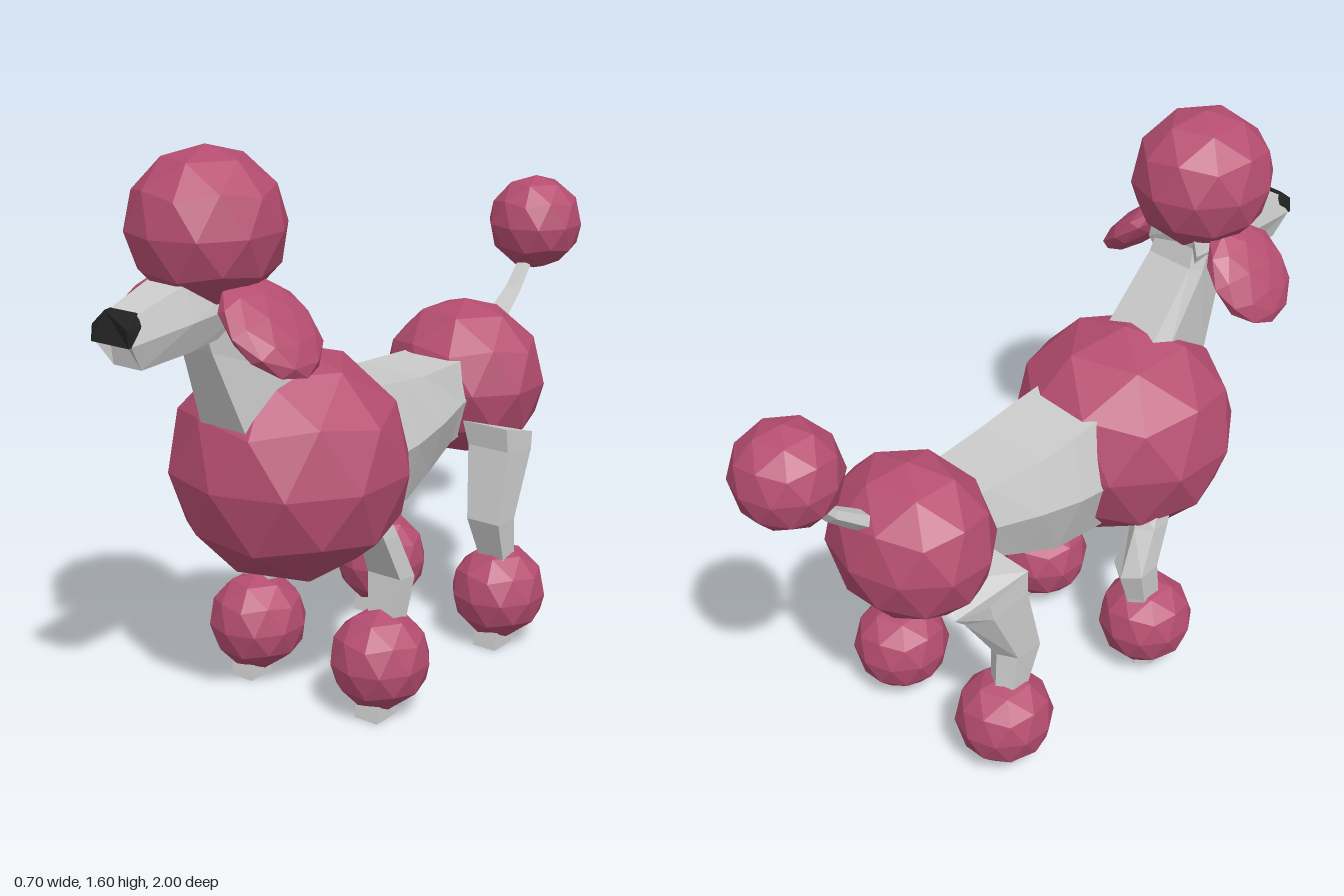
import * as THREE from 'three';

const coat = new THREE.MeshStandardMaterial({ color: 0xb54d70, flatShading: true });
const skin = new THREE.MeshStandardMaterial({ color: 0xcccccc, flatShading: true });
const black = new THREE.MeshStandardMaterial({ color: 0x222222, flatShading: true });

// Joins rings of [x, y, z] points into a closed, faceted solid
function loft(name, rings, material = skin) {
  const n = rings[0].length;
  const tris = [];
  for (let r = 0; r < rings.length - 1; r++) {
    for (let i = 0; i < n; i++) {
      const j = (i + 1) % n;
      const a = rings[r][i], b = rings[r][j], c = rings[r + 1][j], d = rings[r + 1][i];
      tris.push([a, b, c], [a, c, d]);
    }
  }
  const first = rings[0], last = rings[rings.length - 1];
  for (let i = 1; i < n - 1; i++) {
    tris.push([first[0], first[i + 1], first[i]], [last[0], last[i], last[i + 1]]);
  }
  // Turn every face outwards if the enclosed volume comes out negative
  const v = tris.map(t => t.map(p => new THREE.Vector3(...p)));
  const volume = v.reduce((s, [a, b, c]) => s + a.dot(b.clone().cross(c)), 0);
  if (volume < 0) tris.forEach(t => t.reverse());
  const geo = new THREE.BufferGeometry();
  geo.setAttribute('position', new THREE.Float32BufferAttribute(tris.flat(2), 3));
  geo.computeVertexNormals();
  const mesh = new THREE.Mesh(geo, material);
  mesh.name = name;
  return mesh;
}

// Mirrored six-sided ring; each corner pair is [half width, y, z]
const hex = (t, m, b) => [
  [-t[0], t[1], t[2]], [t[0], t[1], t[2]], [m[0], m[1], m[2]],
  [b[0], b[1], b[2]], [-b[0], b[1], b[2]], [-m[0], m[1], m[2]],
];

// Faceted ball of clipped fur with a corner at the top
function puff(name, pos, radii) {
  const geo = new THREE.IcosahedronGeometry(1, 1);
  geo.rotateZ(-Math.atan(2 / (1 + Math.sqrt(5))));
  geo.scale(...radii);
  const mesh = new THREE.Mesh(geo, coat);
  mesh.name = name;
  mesh.position.set(...pos);
  return mesh;
}

// Horizontal leg ring with a ridge at the back: centre x, half width, y and z of front, side and ridge
const legRing = ([x, w, y, front, side, ridge, drop = 0]) => [
  [x - w, y, front], [x + w, y, front], [x + w, y - drop * 0.4, side],
  [x, y - drop, ridge], [x - w, y - drop * 0.4, side],
];

export function createModel() {
  const dog = new THREE.Group();
  dog.name = 'poodle';

  // Fur
  dog.add(
    puff('chestFur', [0, 0.712, 0.35], [0.335, 0.325, 0.325]),
    puff('hipFur', [0, 0.755, -0.475], [0.25, 0.238, 0.218]),
    puff('topKnot', [0, 1.4, 0.655], [0.2, 0.2, 0.208]),
    puff('tailPuff', [0, 1.16, -0.855], [0.145, 0.145, 0.145]),
  );

  // Torso
  dog.add(loft('torso', [
    hex([0.12, 0.89, 0.15], [0.18, 0.69, 0.15], [0.11, 0.5, 0.15]),
    hex([0.12, 0.875, 0.02], [0.175, 0.7, 0.0], [0.11, 0.515, -0.03]),
    hex([0.115, 0.86, -0.1], [0.16, 0.72, -0.14], [0.1, 0.56, -0.15]),
    hex([0.1, 0.855, -0.28], [0.13, 0.74, -0.28], [0.085, 0.61, -0.28]),
    hex([0.09, 0.85, -0.45], [0.12, 0.75, -0.45], [0.08, 0.64, -0.45]),
  ]));

  // Neck: back, side and front corners
  dog.add(loft('neck', [
    hex([0.09, 0.9, 0.27], [0.12, 0.86, 0.36], [0.08, 0.78, 0.575]),
    hex([0.085, 1.0, 0.37], [0.11, 0.985, 0.42], [0.075, 0.86, 0.61]),
    hex([0.075, 1.18, 0.53], [0.09, 1.16, 0.57], [0.05, 1.1, 0.705]),
    hex([0.06, 1.3, 0.57], [0.08, 1.27, 0.62], [0.05, 1.2, 0.74]),
  ]));

  // Head and muzzle
  dog.add(loft('head', [
    hex([0.07, 1.3, 0.54], [0.09, 1.22, 0.54], [0.06, 1.15, 0.56]),
    hex([0.058, 1.29, 0.8], [0.085, 1.2, 0.8], [0.055, 1.12, 0.78]),
    hex([0.045, 1.243, 0.963], [0.06, 1.178, 0.99], [0.045, 1.11, 0.945]),
  ]));
  dog.add(loft('nose', [
    hex([0.044, 1.25, 0.95], [0.055, 1.22, 0.95], [0.058, 1.178, 0.97]),
    hex([0.044, 1.248, 0.968], [0.055, 1.22, 1.0], [0.061, 1.177, 1.0]),
  ], black));

  // Tail
  const tailPath = [[0.86, -0.6, 0.035], [0.91, -0.665, 0.032], [0.965, -0.735, 0.026],
    [1.035, -0.795, 0.023], [1.1, -0.83, 0.022]];
  dog.add(loft('tail', tailPath.map(([y, z, w]) => [
    [-w, y, z], [-w * 0.6, y + w * 0.6, z + w * 0.5], [w * 0.6, y + w * 0.6, z + w * 0.5],
    [w, y, z], [0, y - w * 0.6, z - w * 0.5],
  ])));

  // Ears and legs
  for (const s of [-1, 1]) {
    const side = s > 0 ? 'left' : 'right';
    const ear = s > 0
      ? puff('leftEar', [0.198, 1.178, 0.655], [0.05, 0.155, 0.143])
      : puff('rightEar', [-0.188, 1.165, 0.655], [0.05, 0.155, 0.143]);
    ear.rotation.z = s > 0 ? 0.8 : -0.67;
    dog.add(ear);

    dog.add(loft(side + 'FrontLeg', [
      [s * 0.2, 0.04, 0.62, 0.315, 0.26, 0.21],
      [s * 0.213, 0.045, 0.52, 0.275, 0.215, 0.18],
      [s * 0.216, 0.054, 0.395, 0.222, 0.155, 0.125, 0.025],
      [s * 0.22, 0.043, 0.28, 0.242, 0.18, 0.152],
      [s * 0.222, 0.038, 0.06, 0.3, 0.22, 0.195],
      [s * 0.222, 0.038, 0, 0.312, 0.225, 0.19],
    ].map(legRing)));
    dog.add(puff(side + 'FrontFootPuff', [s * 0.217, 0.16, 0.24], [0.14, 0.142, 0.142]));

    dog.add(loft(side + 'HindLeg', [
      [s * 0.19, 0.075, 0.68, -0.3, -0.44, -0.5, 0.1],
      [s * 0.2, 0.068, 0.61, -0.305, -0.43, -0.475, 0.05],
      [s * 0.216, 0.054, 0.4, -0.26, -0.345, -0.375],
      [s * 0.22, 0.043, 0.28, -0.3, -0.36, -0.385],
      [s * 0.222, 0.038, 0.06, -0.28, -0.36, -0.395],
      [s * 0.222, 0.038, 0, -0.27, -0.36, -0.4],
    ].map(legRing)));
    dog.add(puff(side + 'HindFootPuff', [s * 0.217, 0.16, -0.35], [0.14, 0.142, 0.142]));
  }

  return dog;
}
